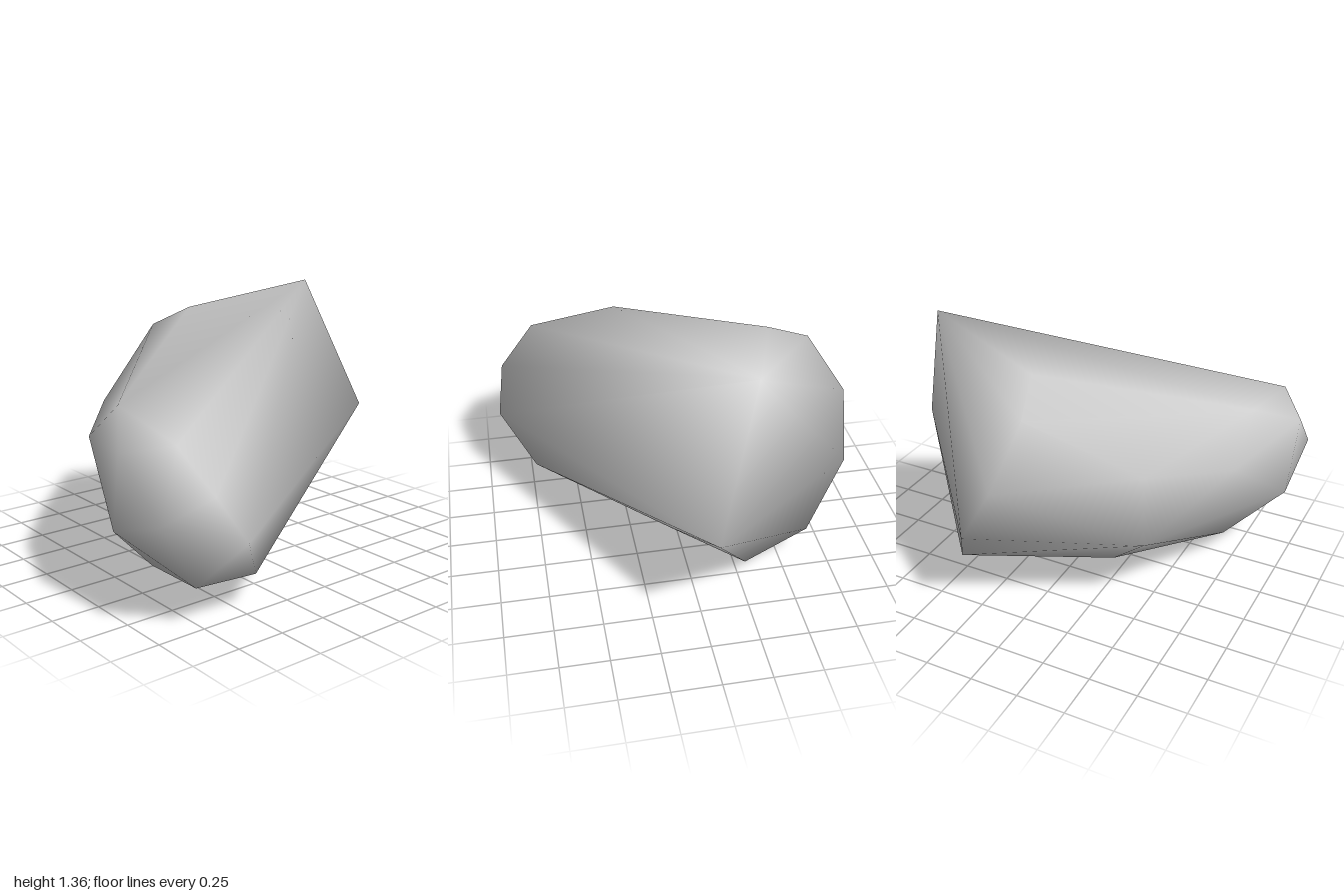
import * as THREE from 'three';
import { ConvexGeometry } from 'three/addons/geometries/ConvexGeometry.js';
import { mergeVertices } from 'three/addons/utils/BufferGeometryUtils.js';

// Corners of the boulder, grouped along its length
const cutEnd = [
  [0.75, 1.36, -0.25], [1, 0.63, -0.03], [0.5, 0.07, -0.29],
  [0.43, 0.185, -0.64], [0.26, 0.49, -0.88],
];
const back = [
  [0.07, 0.81, -0.91], [0, 1.12, -0.71], [0.08, 1.24, -0.47],
  [-0.51, 0.8, -0.44], [-0.51, 0.41, -0.43], [-0.83, 0.74, -0.07],
];
const underside = [[-0.18, 0, -0.07], [0.095, 0.03, 0.045], [-0.69, 0.13, 0.25]];
const roundedEnd = [
  [-0.83, 0.95, 0.2], [-1, 0.81, 0.46], [-0.98, 0.41, 0.37],
  [-0.98, 0.54, 0.75], [-0.84, 0.87, 0.68], [-0.77, 0.66, 0.87],
  [-0.62, 0.43, 0.91], [-0.43, 0.178, 0.73], [-0.78, 0.2, 0.73],
];

// Smooth normals in which each face counts by its angle at the corner, not its area
function smoothByAngle(geometry) {
  const position = geometry.attributes.position;
  const index = geometry.index.array;
  const point = (i) => new THREE.Vector3().fromBufferAttribute(position, i);
  const normals = Array.from({ length: position.count }, () => new THREE.Vector3());
  for (let f = 0; f < index.length; f += 3) {
    for (let k = 0; k < 3; k++) {
      const corner = index[f + k];
      const toNext = point(index[f + (k + 1) % 3]).sub(point(corner));
      const toLast = point(index[f + (k + 2) % 3]).sub(point(corner));
      const faceNormal = toNext.clone().cross(toLast).normalize();
      normals[corner].addScaledVector(faceNormal, toNext.angleTo(toLast));
    }
  }
  const values = normals.flatMap((n) => n.normalize().toArray());
  geometry.setAttribute('normal', new THREE.Float32BufferAttribute(values, 3));
}

export function createModel() {
  const group = new THREE.Group();
  group.name = 'rock';

  const stone = new THREE.MeshStandardMaterial({ color: 0xcacaca });
  stone.name = 'stone grey';

  // Convex shell with shared corners, so the shading runs smoothly across faces
  const corners = [...cutEnd, ...back, ...underside, ...roundedEnd];
  const shell = new ConvexGeometry(corners.map((p) => new THREE.Vector3(...p)));
  shell.deleteAttribute('normal');
  const geometry = mergeVertices(shell, 1e-4);
  smoothByAngle(geometry);

  const boulder = new THREE.Mesh(geometry, stone);
  boulder.name = 'boulder';
  group.add(boulder);
  return group;
}
